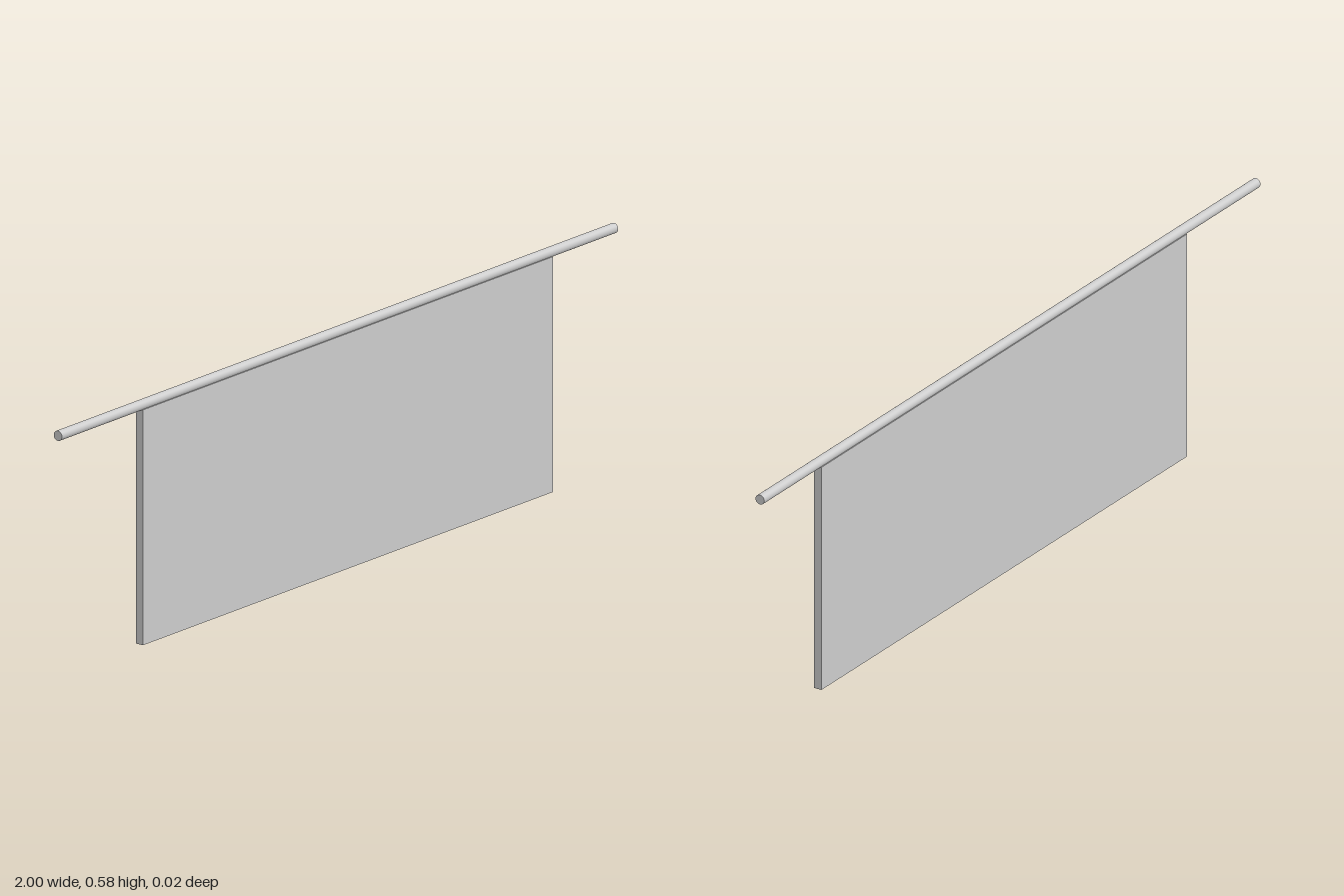
import * as THREE from 'three';

export function createModel() {
  const group = new THREE.Group();
  const material = new THREE.MeshStandardMaterial({ color: 0xcccccc });

  const add = (name, geometry, x, y) => {
    const mesh = new THREE.Mesh(geometry, material);
    mesh.name = name;
    mesh.position.set(x, y, 0);
    group.add(mesh);
    return mesh;
  };

  // Hanging panel, slightly off centre along the rod
  const left = 0.767, right = -0.706, panelTop = 0.56, thickness = 0.02;
  add('panel', new THREE.BoxGeometry(left - right, panelTop, thickness), (left + right) / 2, panelTop / 2);

  // Round rod lying along the panel's top edge
  const rod = add('rod', new THREE.CylinderGeometry(0.012, 0.012, 2, 32), 0, 0.569);
  rod.rotation.z = Math.PI / 2;

  return group;
}
